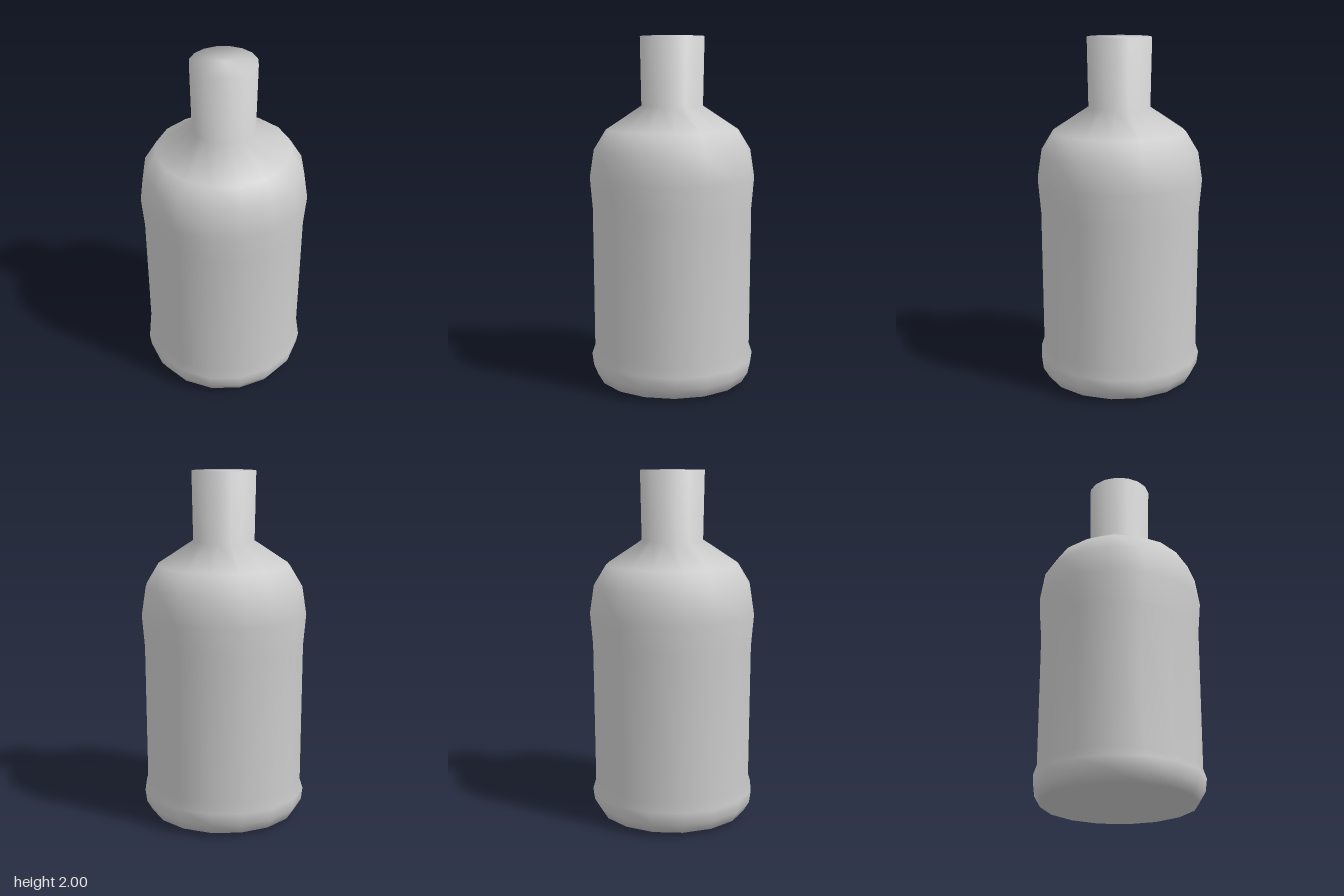
import * as THREE from 'three';

// Closed, smooth-shaded bottle turned from one profile with 16 sides
export function createModel() {
  const group = new THREE.Group();
  group.name = 'bottle';

  const profile = [
    // slightly sagging underside
    [0, 0], [0.43, 0.02],
    // bulging foot band
    [0.465, 0.08], [0.474, 0.15], [0.456, 0.205],
    // straight wall
    [0.46, 1.02],
    // swelling and rounded shoulder
    [0.475, 1.2], [0.45, 1.36], [0.38, 1.475], [0.176, 1.61],
    // neck and flat closed top
    [0.183, 2], [0, 2],
  ].map(([r, y]) => new THREE.Vector2(r, y));

  const material = new THREE.MeshStandardMaterial({ color: 0xcccccc });
  const shell = new THREE.Mesh(new THREE.LatheGeometry(profile, 16), material);
  shell.name = 'bottleShell';
  group.add(shell);
  return group;
}
